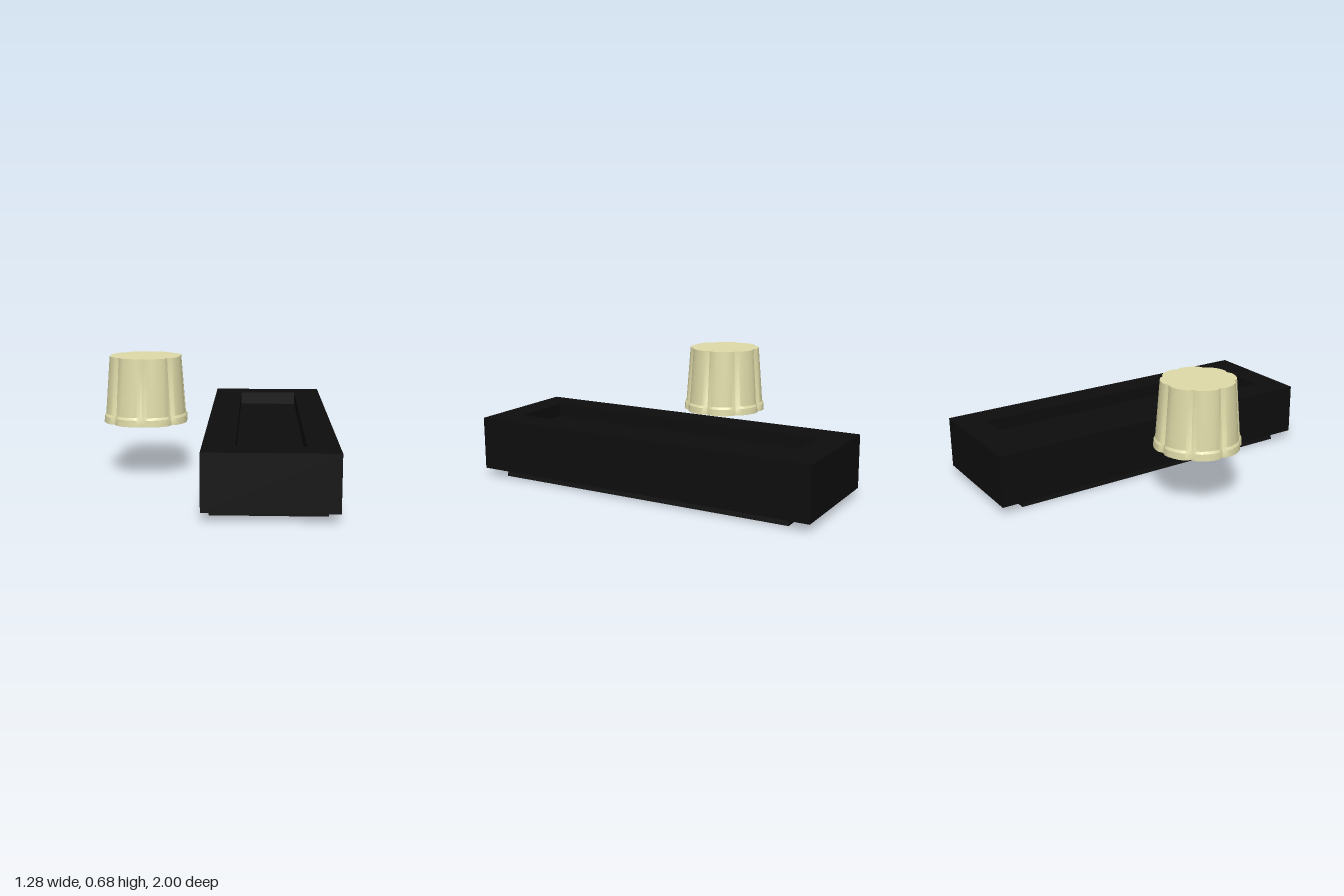
import * as THREE from 'three';
import { toCreasedNormals } from 'three/addons/utils/BufferGeometryUtils.js';

// Skin a closed surface through rings of [x, y, z] points (counter-clockwise from above),
// ordered from the underside centre, outwards, up and back in to the top centre.
function loft(rings, crease) {
  const pos = [];
  const v = (p) => new THREE.Vector3(...p);
  const tri = (a, b, c) => {
    if (new THREE.Triangle(v(a), v(b), v(c)).getArea() > 1e-9) pos.push(...a, ...b, ...c);
  };
  for (let i = 0; i < rings.length - 1; i++) {
    const lo = rings[i], hi = rings[i + 1], n = lo.length;
    for (let j = 0; j < n; j++) {
      const k = (j + 1) % n;
      tri(lo[j], lo[k], hi[k]);
      tri(lo[j], hi[k], hi[j]);
    }
  }
  const g = new THREE.BufferGeometry();
  g.setAttribute('position', new THREE.Float32BufferAttribute(pos, 3));
  g.computeVertexNormals();
  return toCreasedNormals(g, crease);
}

// Rectangular ring at height y
const rect = (y, x0, x1, z0, z1) => [[x1, y, z1], [x1, y, z0], [x0, y, z0], [x0, y, z1]];

// Scalloped ring: eight rounded lobes parted by narrow notches
function scallop(y, r) {
  const lobe = [[0, 0.93], [3, 0.95], [7, 0.985], [14, 1], [22.5, 1.003], [31, 1], [38, 0.985], [42, 0.95]];
  const ring = [];
  for (let i = 0; i < 8; i++) {
    for (const [deg, s] of lobe) {
      const a = THREE.MathUtils.degToRad(i * 45 + deg);
      ring.push([r * s * Math.cos(a), y, -r * s * Math.sin(a)]);
    }
  }
  return ring;
}

export function createModel() {
  const model = new THREE.Group();

  // Long tray: shallow recess above, hollow underside, flared foot
  const tray = new THREE.Mesh(
    loft([
      rect(0.255, 0.305, 0.305, -0.5, 0.5),
      rect(0.255, 0.13, 0.48, -0.84, 0.85),
      rect(0.1, 0.13, 0.48, -0.84, 0.85),
      rect(0, 0.05, 0.54, -0.85, 0.865),
      rect(0, 0, 0.59, -0.87, 0.885),
      rect(0.045, 0.01, 0.58, -0.87, 0.885),
      rect(0.045, -0.035, 0.64, -1, 1),
      rect(0.34, -0.035, 0.64, -1, 1),
      rect(0.34, 0.13, 0.48, -0.84, 0.85),
      rect(0.265, 0.13, 0.48, -0.84, 0.85),
      rect(0.265, 0.305, 0.305, -0.5, 0.5),
    ], 0.1),
    new THREE.MeshStandardMaterial({ color: 0x0d0d0d }));
  tray.name = 'tray';
  model.add(tray);

  // Fluted, tapered cup with a wider lip at the base
  const cup = new THREE.Mesh(
    loft([
      scallop(0.307, 0),
      scallop(0.307, 0.242),
      scallop(0.345, 0.239),
      scallop(0.358, 0.231),
      scallop(0.683, 0.206),
      scallop(0.683, 0),
    ], 0.45),
    new THREE.MeshStandardMaterial({ color: 0xdedaa8 }));
  cup.name = 'flutedCup';
  cup.position.x = -0.404;
  model.add(cup);

  return model;
}
